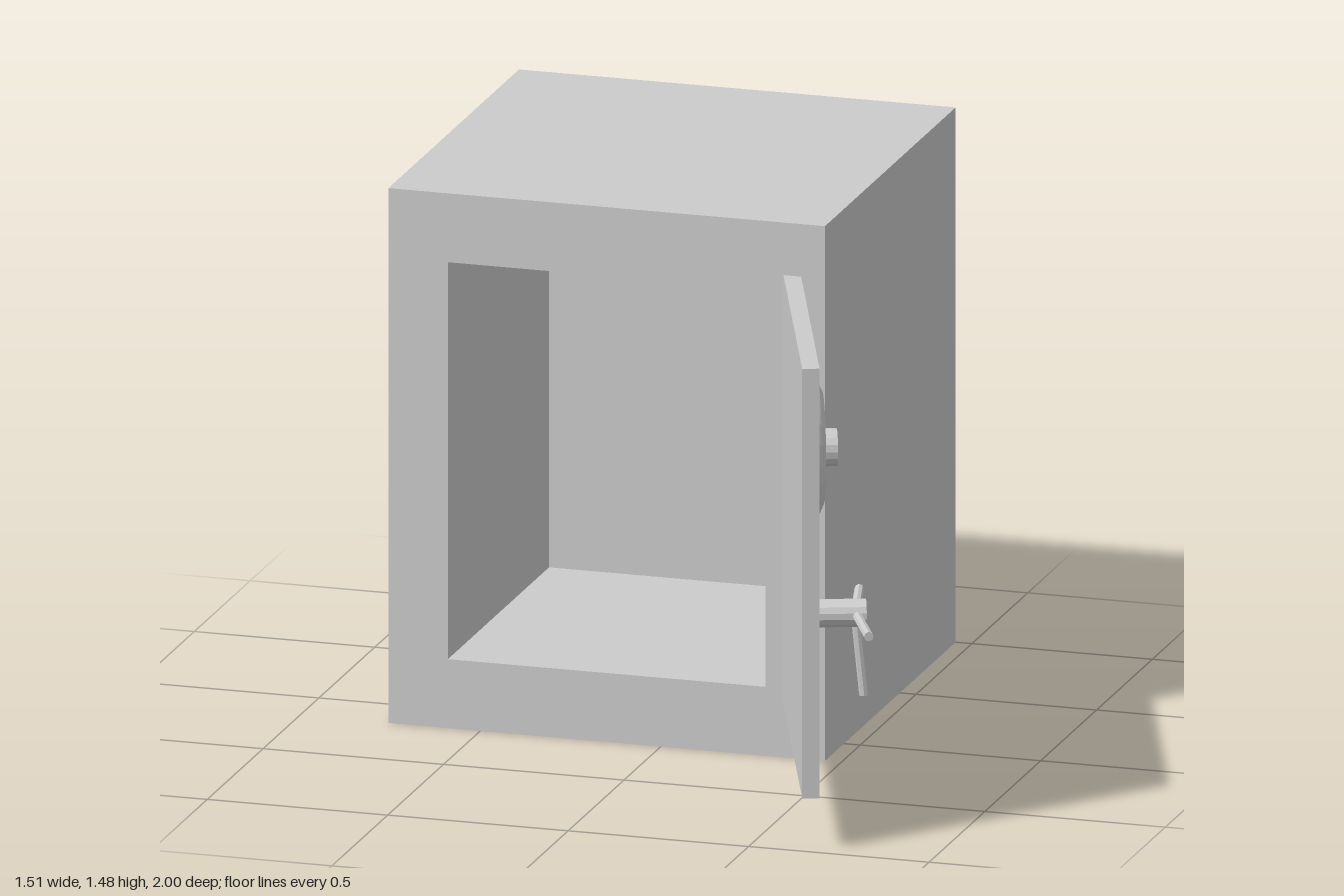
import * as THREE from 'three';

const material = new THREE.MeshStandardMaterial({ color: 0xcccccc, flatShading: true });

function add(parent, name, geometry, x = 0, y = 0, z = 0) {
  const mesh = new THREE.Mesh(geometry, material);
  mesh.name = name;
  mesh.position.set(x, y, z);
  parent.add(mesh);
  return mesh;
}

// Cylinder whose axis runs along z, starting at z = 0
function peg(rTop, rBase, length, sides) {
  return new THREE.CylinderGeometry(rTop, rBase, length, sides)
    .rotateX(Math.PI / 2).translate(0, 0, length / 2);
}

function rectangle(PathType, x0, y0, x1, y1) {
  return new PathType([[x0, y0], [x1, y0], [x1, y1], [x0, y1]].map(p => new THREE.Vector2(...p)));
}

function createBody() {
  const body = new THREE.Group();
  body.name = 'body';
  const front = 0.17, back = -1, cavityBack = -0.735;
  // Walls around the cavity
  const outline = rectangle(THREE.Shape, -0.755, 0, 0.455, 1.475);
  outline.holes.push(rectangle(THREE.Path, -0.59, 0.19, 0.29, 1.285));
  add(body, 'walls', new THREE.ExtrudeGeometry(outline, { depth: front - cavityBack, bevelEnabled: false }), 0, 0, cavityBack);
  add(body, 'backWall', new THREE.BoxGeometry(1.21, 1.475, cavityBack - back), -0.15, 0.7375, (cavityBack + back) / 2);
  // Tapered hinge blocks beside the door
  for (const y of [0.38, 0.968]) {
    const block = peg(0.7, 1, 0.045, 4).rotateZ(Math.PI / 4).scale(0.055, 0.054, 1);
    add(body, 'hinge', block, 0.393, y, front);
  }
  return body;
}

function createHandle() {
  const handle = new THREE.Group();
  handle.name = 'handle';
  add(handle, 'handlePlate', peg(0.125, 0.131, 0.02, 10).rotateZ(Math.PI / 2));
  add(handle, 'handleHub', peg(0.038, 0.038, 0.15, 14));
  // Three spokes leaning slightly outwards
  for (const angle of [0, Math.PI, -Math.PI / 2]) {
    const spoke = new THREE.CylinderGeometry(0.013, 0.013, 0.228, 8)
      .rotateZ(-Math.PI / 2).translate(0.114, 0, 0)
      .rotateY(-0.1).rotateZ(angle);
    add(handle, 'spoke', spoke, 0, 0, 0.122);
  }
  return handle;
}

function createDial() {
  const dial = new THREE.Group();
  dial.name = 'dial';
  const profile = [[0.187, 0], [0.187, 0.014], [0.176, 0.024], [0.15, 0.036], [0, 0.036]]
    .map(p => new THREE.Vector2(...p));
  add(dial, 'dialDisc', new THREE.LatheGeometry(profile, 20).rotateX(Math.PI / 2));
  add(dial, 'dialKnob', peg(0.05, 0.053, 0.073, 16));
  return dial;
}

// Door hinged at its own origin, extending along -x with its outer face at +z
function createDoor() {
  const door = new THREE.Group();
  door.name = 'door';
  const width = 0.885, thickness = 0.046, centre = -0.407;
  add(door, 'doorPanel', new THREE.BoxGeometry(width, 1.185, thickness), -width / 2, 0.7375, thickness / 2);
  const dial = createDial();
  dial.position.set(centre, 0.973, thickness);
  const handle = createHandle();
  handle.position.set(centre, 0.515, thickness);
  door.add(dial, handle);
  // Swing open
  door.position.set(0.34, 0, 0.17);
  door.rotation.y = THREE.MathUtils.degToRad(110.4);
  return door;
}

export function createModel() {
  const safe = new THREE.Group();
  safe.name = 'safe';
  safe.add(createBody(), createDoor());
  return safe;
}
